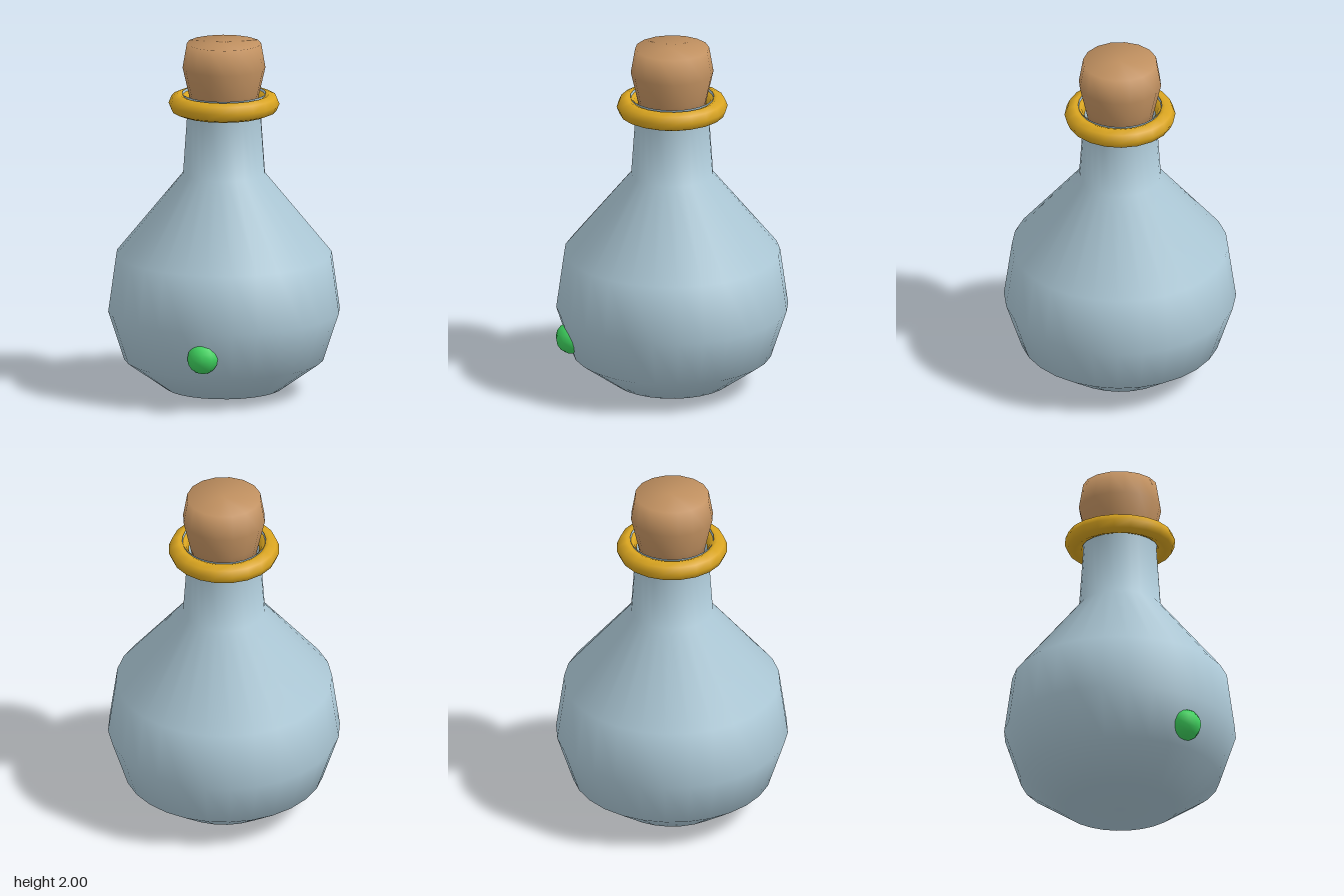
import * as THREE from 'three';

function material(name, color, side = THREE.FrontSide) {
  const m = new THREE.MeshStandardMaterial({ color, side });
  m.name = name;
  return m;
}

function lathe(profile, segments) {
  return new THREE.LatheGeometry(profile.map(([r, y]) => new THREE.Vector2(r, y)), segments);
}

export function createModel() {
  const group = new THREE.Group();
  group.name = 'potionBottle';

  const glass = material('paleBlueGlass', 0xaecad8, THREE.DoubleSide);
  const corkBrown = material('corkBrown', 0xc09060);
  const gold = material('gold', 0xdaa520);
  const green = material('bubbleGreen', 0x3fd45f);

  const add = (name, geometry, mat, x, y, z) => {
    const mesh = new THREE.Mesh(geometry, mat);
    mesh.name = name;
    mesh.position.set(x, y, z);
    group.add(mesh);
    return mesh;
  };
  const cz = -0.005;

  // Round flask body, tapering neck and flared open lip
  add('bottle', lathe([
    [0, 0.005], [0.33, 0.03], [0.56, 0.195], [0.65, 0.47], [0.605, 0.795],
    [0.23, 1.255], [0.205, 1.62], [0.235, 1.715],
  ], 28), glass, 0, 0, cz);

  // Cork stopper bulging above the lip
  add('cork', lathe([
    [0, 1.56], [0.165, 1.56], [0.2, 1.72], [0.232, 1.86], [0.208, 2], [0, 2],
  ], 16), corkBrown, 0, 0, cz);

  // Collar ring around the neck
  const ring = add('neckRing', new THREE.TorusGeometry(0.255, 0.056, 8, 20), gold, 0, 1.655, cz);
  ring.rotation.x = Math.PI / 2;

  // Bubble breaking through the front of the flask
  add('bubble', new THREE.SphereGeometry(0.09, 10, 8), green, 0.095, 0.32, 0.565);

  return group;
}
